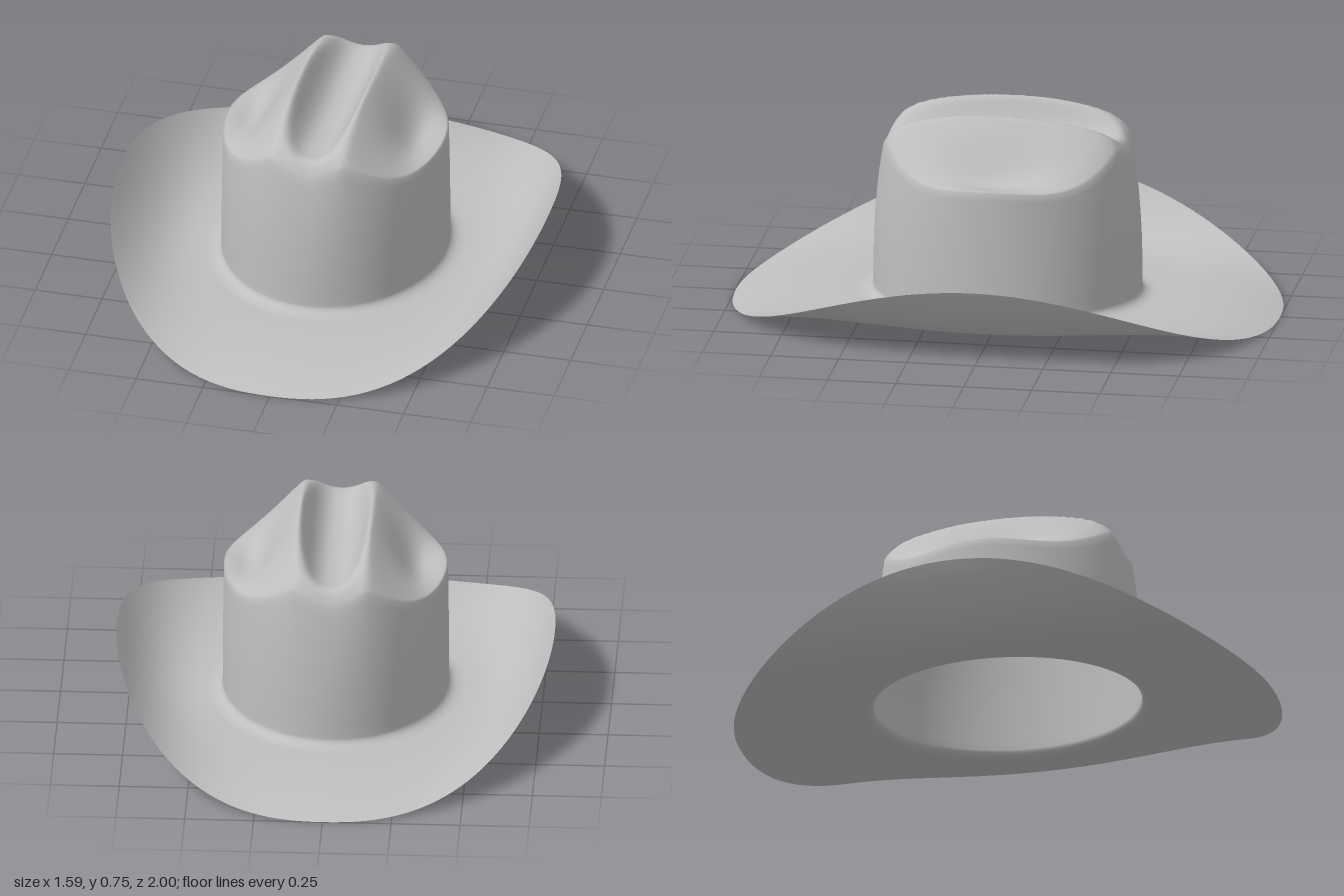
import * as THREE from 'three';

const SEG = 128;

// Closed sheet of rings running from the outside inward; point(row, angle) -> [x, y, z]
function ringSheet(rows, point) {
  const pos = [], idx = [];
  for (let i = 0; i <= rows; i++) {
    for (let j = 0; j < SEG; j++) pos.push(...point(i, (j / SEG) * Math.PI * 2));
  }
  for (let i = 0; i < rows; i++) {
    for (let j = 0; j < SEG; j++) {
      const k = (j + 1) % SEG;
      const a = i * SEG + j, b = i * SEG + k, c = a + SEG, d = b + SEG;
      idx.push(a, c, b, b, c, d);
    }
  }
  const g = new THREE.BufferGeometry();
  g.setAttribute('position', new THREE.Float32BufferAttribute(pos, 3));
  g.setIndex(idx);
  g.computeVertexNormals();
  return g;
}

const smoothMin = (a, b, k) => {
  const h = Math.max(k - Math.abs(a - b), 0) / k;
  return Math.min(a, b) - h * h * k * 0.25;
};

const BASE = 0.055;
const FOOT = { x: 0.46, z: 0.54 };

// Brim: curls up at the sides, dips at front and back
function brimPoint(i, a, rows) {
  const t = 1 - i / rows;
  const c = Math.cos(a), s = Math.sin(a);
  const q = Math.pow(Math.abs(c) ** 2.15 + Math.abs(s) ** 2.15, -1 / 2.15);
  const rx = 0.795 * c * q, rz = s * q;
  const rimY = 0.005 + 0.29 * Math.pow(Math.max(0, 1 - rz * rz), 1.4);
  return [
    THREE.MathUtils.lerp(FOOT.x * c, rx, t),
    BASE + (rimY - BASE) * Math.pow(t, 2.6),
    THREE.MathUtils.lerp(FOOT.z * s, rz, t),
  ];
}

// Height of the crown top: dome, twin ridges, centre crease and two side dents
function topHeight(x, z) {
  const u = Math.abs(x), d = Math.max(0, u - 0.13);
  const ends = 0.45 * z * z * (1 - 1.6 * u) + 0.07 * (Math.abs(z) / 0.45) ** 12;
  const sides = 0.24 * (1 - Math.exp(-((d / 0.17) ** 1.2)));
  const dent = 0.06 * Math.exp(-(((u - 0.29) / 0.08) ** 2) - (z / 0.2) ** 2);
  const crease = 0.63 + 0.15 * z * z + 0.12 * (u / 0.12) ** 2.5;
  return smoothMin(0.76 - ends - sides - dent, crease, 0.03);
}

const FILLET = 6, WALL = 16, CAP = 48;
const TOP = { x: 0.406, z: 0.453 };

// Crown: small fillet at the foot, tapering wall, then the shaped top
function crownPoint(i, a) {
  const c = Math.cos(a), s = Math.sin(a);
  if (i < FILLET) {
    const f = (i / FILLET) * Math.PI / 2;
    const out = 0.05 * (1 - Math.sin(f));
    return [(0.41 + out) * c, BASE + 0.03 * (1 - Math.cos(f)), (0.49 + out) * s];
  }
  const round = (p) => 0.025 * p ** 8 * Math.sin(2 * a) ** 2;
  if (i < FILLET + WALL) {
    const v = (i - FILLET) / WALL;
    const edge = topHeight(TOP.x * c, TOP.z * s) - round(1);
    return [
      (0.41 + (TOP.x - 0.41) * v * v) * c,
      THREE.MathUtils.lerp(BASE + 0.03, edge, v),
      (0.49 + (TOP.z - 0.49) * v ** 2.5) * s,
    ];
  }
  const p = 1 - (i - FILLET - WALL) / CAP;
  const x = TOP.x * c * p, z = TOP.z * s * p;
  return [x, topHeight(x, z) - round(p), z];
}

export function createModel() {
  const felt = new THREE.MeshStandardMaterial({ color: 0xbfbfbf, side: THREE.DoubleSide });
  felt.name = 'greyFelt';

  const hat = new THREE.Group();
  hat.name = 'wideBrimHat';

  const brimRows = 24;
  const brim = new THREE.Mesh(ringSheet(brimRows, (i, a) => brimPoint(i, a, brimRows)), felt);
  brim.name = 'brim';

  const crown = new THREE.Mesh(ringSheet(FILLET + WALL + CAP, crownPoint), felt);
  crown.name = 'crown';

  hat.add(brim, crown);
  return hat;
}
